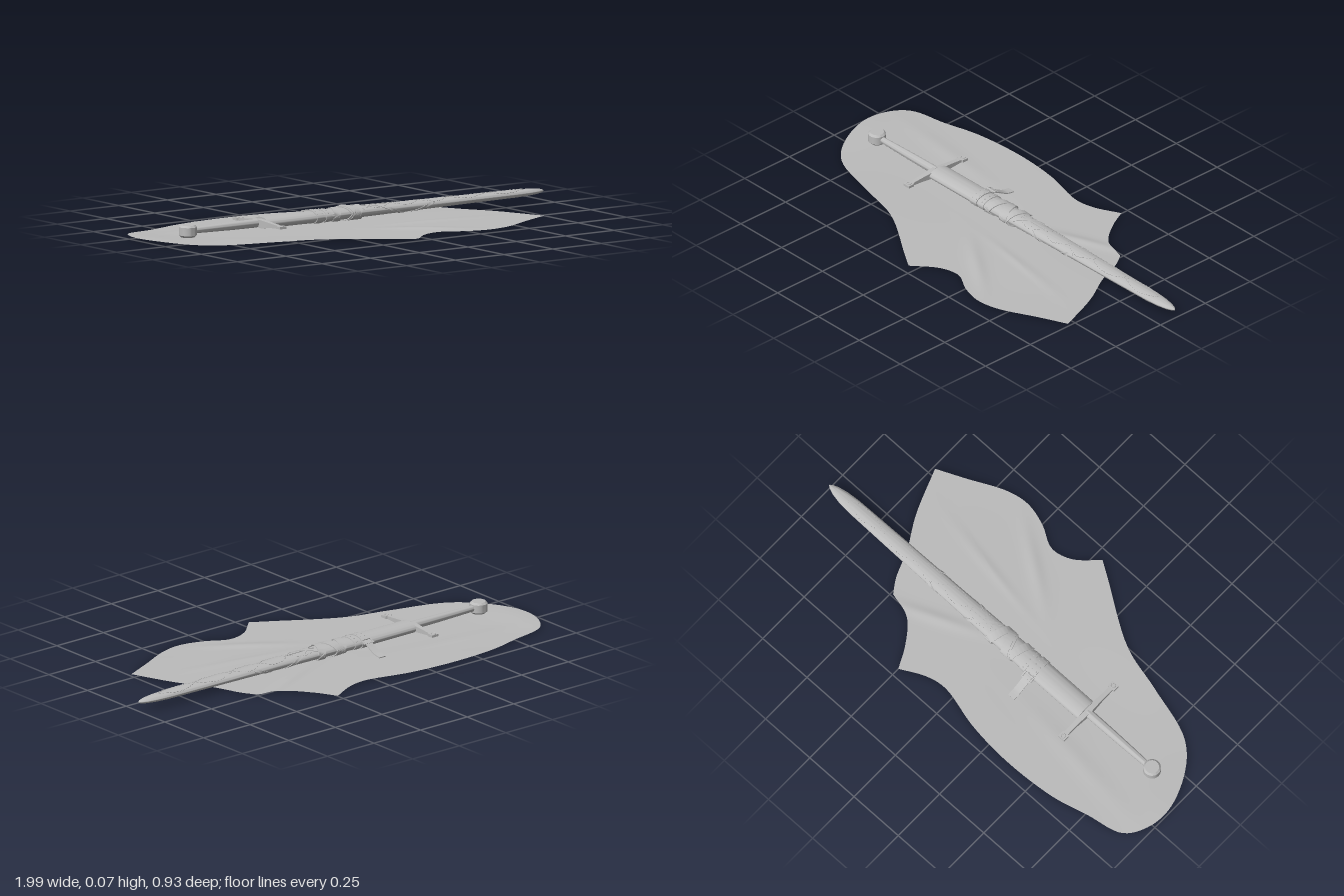
import * as THREE from 'three';
import { toCreasedNormals, mergeGeometries } from 'three/addons/utils/BufferGeometryUtils.js';

const AXIS_Y = 0.04, AXIS_Z = -0.08;

// Skin a list of equal-length closed rings, capping both ends
function loft(rings, crease = 0.6) {
  const n = rings[0].length, pos = rings.flat().flatMap(p => [p.x, p.y, p.z]), idx = [];
  for (let i = 0; i < rings.length - 1; i++) {
    for (let j = 0; j < n; j++) {
      const a = i * n + j, b = i * n + (j + 1) % n;
      idx.push(a, a + n, b + n, a, b + n, b);
    }
  }
  const last = (rings.length - 1) * n;
  for (let j = 1; j < n - 1; j++) {
    idx.push(0, j, j + 1, last, last + j + 1, last + j);
  }
  const g = new THREE.BufferGeometry();
  g.setAttribute('position', new THREE.Float32BufferAttribute(pos, 3));
  g.setIndex(idx);
  return toCreasedNormals(g, crease);
}

// Piecewise-linear lookup in [x, value, value] rows
function lookup(rows, x) {
  let i = 0;
  while (i < rows.length - 2 && x > rows[i + 1][0]) i++;
  const a = rows[i], b = rows[i + 1];
  const t = THREE.MathUtils.clamp((x - a[0]) / (b[0] - a[0]), 0, 1);
  return [a[1] + (b[1] - a[1]) * t, a[2] + (b[2] - a[2]) * t];
}

// Scabbard profile: x, half width, half height
const SCABBARD = [
  [-0.45, 0.05, 0.024], [-0.2, 0.05, 0.025], [0, 0.046, 0.024], [0.3, 0.041, 0.021], [0.6, 0.038, 0.018],
  [0.86, 0.034, 0.016], [0.92, 0.029, 0.014], [0.965, 0.02, 0.011], [0.99, 0.01, 0.007], [1, 0.002, 0.002],
];

function onScabbard(x, a, lift = 0) {
  const [w, h] = lookup(SCABBARD, x);
  return new THREE.Vector3(x, AXIS_Y + (h + lift) * Math.sin(a), AXIS_Z + (w + lift) * Math.cos(a));
}

function sectionTube(rows, sides = 32) {
  return loft(rows.map(([x, w, h]) => Array.from({ length: sides }, (_, j) => {
    const a = j / sides * Math.PI * 2;
    return new THREE.Vector3(x, AXIS_Y + h * Math.sin(a), AXIS_Z + w * Math.cos(a));
  })));
}

// Flat strap of rectangular section along points, given outward normals
function strap(points, normals, half, thick) {
  return loft(points.map((p, i) => {
    const t = points[Math.min(i + 1, points.length - 1)].clone().sub(points[Math.max(i - 1, 0)]).normalize();
    const b = normals[i].clone().cross(t).normalize().multiplyScalar(half);
    const n = normals[i].clone().multiplyScalar(thick);
    return [p.clone().sub(b).add(n), p.clone().add(b).add(n), p.clone().add(b).sub(n), p.clone().sub(b).sub(n)];
  }));
}

// Strap hugging the scabbard; path(t) returns [x, angle]
function wrap(path, half, thick, lift, steps = 48) {
  const pts = [], normals = [];
  for (let i = 0; i <= steps; i++) {
    const [x, a] = path(i / steps);
    const [w, h] = lookup(SCABBARD, x);
    pts.push(onScabbard(x, a, lift));
    normals.push(new THREE.Vector3(0, Math.sin(a) / h, Math.cos(a) / w).normalize());
  }
  return strap(pts, normals, half, thick);
}

// Short raised stitches spaced along a path on the scabbard
function stitches(path, count) {
  const parts = [];
  for (let i = 0; i < count; i++) {
    parts.push(wrap(t => path((i + 0.6 * t) / count), 0.0018, 0.0012, 0.0005, 3));
  }
  return mergeGeometries(parts);
}

// Cloth outline in x, z: smooth runs between sharp corners
const CLOTH_EDGE = [
  [[0.74, 0.28], [0.62, 0.335], [0.45, 0.415], [0.35, 0.43], [0.25, 0.405], [0.15, 0.355], [0.06, 0.375], [-0.04, 0.46]],
  [[-0.04, 0.46], [-0.12, 0.41], [-0.38, 0.25], [-0.58, 0.195], [-0.82, 0.12], [-0.92, 0.02], [-0.99, -0.15],
    [-0.98, -0.27], [-0.92, -0.36], [-0.76, -0.4], [-0.6, -0.44], [-0.36, -0.457], [-0.15, -0.44], [0.05, -0.395],
    [0.14, -0.41], [0.25, -0.465]],
  [[0.25, -0.465], [0.3, -0.37], [0.38, -0.275], [0.49, -0.24]],
  [[0.49, -0.24], [0.53, -0.18], [0.58, -0.06], [0.66, 0.08], [0.74, 0.28]],
];

function clothHeight(x, z) {
  const fold = (cx, cz, angle, len, wid, h) => {
    const c = Math.cos(angle), s = Math.sin(angle), dx = x - cx, dz = z - cz;
    return h * Math.exp(-(((dx * c + dz * s) / len) ** 2) - ((-dx * s + dz * c) / wid) ** 2);
  };
  return 0.003 + 0.0015 * Math.sin(5 * x - 7 * z) + 0.001 * Math.sin(11 * z + 3 * x)
    + fold(0.3, -0.2, -0.4, 0.2, 0.025, 0.006) + fold(0.15, 0.25, 0.6, 0.18, 0.03, 0.006)
    + fold(0.3, 0.12, 0.15, 0.25, 0.02, 0.004) + fold(-0.55, -0.25, 0.1, 0.3, 0.04, 0.004)
    + fold(-0.95, -0.2, 1.5, 0.2, 0.1, 0.006);
}

function clothGeometry() {
  const edge = CLOTH_EDGE.flatMap(run => new THREE.CatmullRomCurve3(
    run.map(([x, z]) => new THREE.Vector3(x, 0, z))).getPoints(run.length * 6).slice(0, -1));
  const n = edge.length, rows = 36, cx = -0.1, cz = -0.02, pos = [], idx = [];
  for (let i = 0; i <= rows; i++) {
    for (const p of edge) {
      const x = cx + (p.x - cx) * i / rows, z = cz + (p.z - cz) * i / rows;
      pos.push(x, Math.max(0, clothHeight(x, z)), z);
    }
  }
  for (let i = 0; i < rows; i++) {
    for (let j = 0; j < n; j++) {
      const a = i * n + j, b = i * n + (j + 1) % n;
      if (i) idx.push(a, b, b + n);
      idx.push(a, b + n, a + n);
    }
  }
  const g = new THREE.BufferGeometry();
  g.setAttribute('position', new THREE.Float32BufferAttribute(pos, 3));
  // Outline runs clockwise seen from above, so flip triangles to face up
  for (let k = 0; k < idx.length; k += 3) [idx[k + 1], idx[k + 2]] = [idx[k + 2], idx[k + 1]];
  g.setIndex(idx);
  g.computeVertexNormals();
  const up = g.attributes.normal.getY(n * 10) > 0;
  if (!up) {
    for (let k = 0; k < idx.length; k += 3) [idx[k + 1], idx[k + 2]] = [idx[k + 2], idx[k + 1]];
    g.setIndex(idx);
    g.computeVertexNormals();
  }
  return g;
}

export function createModel() {
  const group = new THREE.Group();
  const grey = new THREE.MeshStandardMaterial({ color: 0xbbbbbb, side: THREE.DoubleSide });
  grey.name = 'plain grey';
  const add = (name, geometry, x = 0, y = 0, z = 0) => {
    const m = new THREE.Mesh(geometry, grey);
    m.name = name;
    m.position.set(x, y, z);
    group.add(m);
    return m;
  };

  add('cloth', clothGeometry());

  // Hilt: disc pommel, tapered grip, flared crossguard
  const disc = [[0, -0.025], [0.029, -0.025], [0.037, -0.017], [0.037, 0.017], [0.029, 0.025], [0, 0.025]];
  add('pommel', toCreasedNormals(new THREE.LatheGeometry(disc.map(p => new THREE.Vector2(...p)), 32), 0.5),
    -0.825, AXIS_Y, AXIS_Z);
  add('grip', sectionTube([[-0.8, 0.013, 0.013], [-0.7, 0.016, 0.015], [-0.6, 0.018, 0.017], [-0.46, 0.019, 0.018]], 24));
  const guard = [[0, 0.015, 0.017], [0.03, 0.013, 0.015], [0.08, 0.01, 0.01], [0.134, 0.01, 0.006], [0.137, 0.017, 0.006], [0.165, 0.017, 0.005]];
  const guardRows = [...guard.slice(1).reverse().map(([z, w, h]) => [-z, w, h]), ...guard];
  add('crossguard', loft(guardRows.map(([z, w, h]) => [[-w, h], [w, h], [w, -h], [-w, -h]].map(
    ([x, y]) => new THREE.Vector3(-0.46 + x, AXIS_Y + y, -0.075 + z)))));
  for (const s of [-1, 1]) {
    add('guardEndRing', new THREE.TorusGeometry(0.009, 0.002, 8, 20).rotateX(Math.PI / 2), -0.46, AXIS_Y + 0.006, -0.075 + s * 0.151);
  }

  // Scabbard and its bands
  add('scabbard', sectionTube(SCABBARD, 40));
  const band = (name, x, half, lift) => {
    const rows = [[-half, 0], [-half, lift], [half, lift], [half, 0]].map(([d, l]) => {
      const [w, h] = lookup(SCABBARD, x + d);
      return [x + d, w + l, h + l];
    });
    add(name, sectionTube(rows, 40));
  };
  band('hangerBand', -0.18, 0.019, 0.004);
  band('hangerBand', -0.135, 0.014, 0.003);
  for (const x of [-0.192, -0.168, -0.135]) {
    for (let k = 0; k < 5; k++) {
      const p = onScabbard(x, Math.PI * (0.2 + 0.15 * k), 0.004);
      add('rivet', new THREE.SphereGeometry(0.003, 8, 6), p.x, p.y, p.z);
    }
  }

  // Crossed leather wrapping
  for (const s of [-1, 1]) {
    for (let k = 0; k < 2; k++) {
      add('wrapping', wrap(t => [-0.1 + k * 0.06 + 0.1 * t, s * (t * 2 + k) * Math.PI], 0.017, 0.0018, 0.003 + 0.002 * k));
    }
    // Narrow lacing spiralling down the scabbard
    add('lacing', wrap(t => [0.05 + 0.36 * t, Math.PI / 2 + s * (t * 2 - 0.3) * Math.PI], 0.006, 0.0012, 0.001, 80));
    // Stitched chains toward the tip
    const wave = (x0, x1, turns) => t => [x0 + (x1 - x0) * t, Math.PI / 2 + s * 0.85 * Math.sin(t * turns * Math.PI)];
    add('stitching', stitches(wave(0.06, 0.5, 3), 30));
    add('stitching', stitches(wave(0.5, 0.9, 2), 26));
  }
  add('seam', wrap(t => [0.06 + 0.16 * t, Math.PI / 2], 0.003, 0.0015, 0.001, 8));

  // Loose belt end falling from the buckle to the cloth
  const fall = new THREE.CatmullRomCurve3([[0.056, -0.115], [0.053, -0.14], [0.035, -0.17], [0.018, -0.205], [0.012, -0.24]]
    .map(([y, z]) => new THREE.Vector3(-0.178, y, z)));
  const pts = fall.getPoints(20);
  const normals = pts.map((_, i) => new THREE.Vector3(1, 0, 0).cross(fall.getTangent(i / 20)).normalize());
  normals.forEach(n => { if (n.y < 0) n.negate(); });
  add('looseStrap', strap(pts, normals, 0.017, 0.002));
  const buckle = new THREE.Group();
  buckle.name = 'buckle';
  for (const s of [-1, 1]) {
    const side = new THREE.Mesh(new THREE.BoxGeometry(0.005, 0.005, 0.026), grey);
    side.position.x = s * 0.023;
    const rail = new THREE.Mesh(new THREE.BoxGeometry(0.051, 0.005, 0.005), grey);
    rail.position.z = s * 0.012;
    side.name = 'buckleSide';
    rail.name = 'buckleRail';
    buckle.add(side, rail);
  }
  buckle.position.set(-0.178, 0.054, -0.14);
  buckle.rotation.x = -0.5;
  group.add(buckle);
  return group;
}
